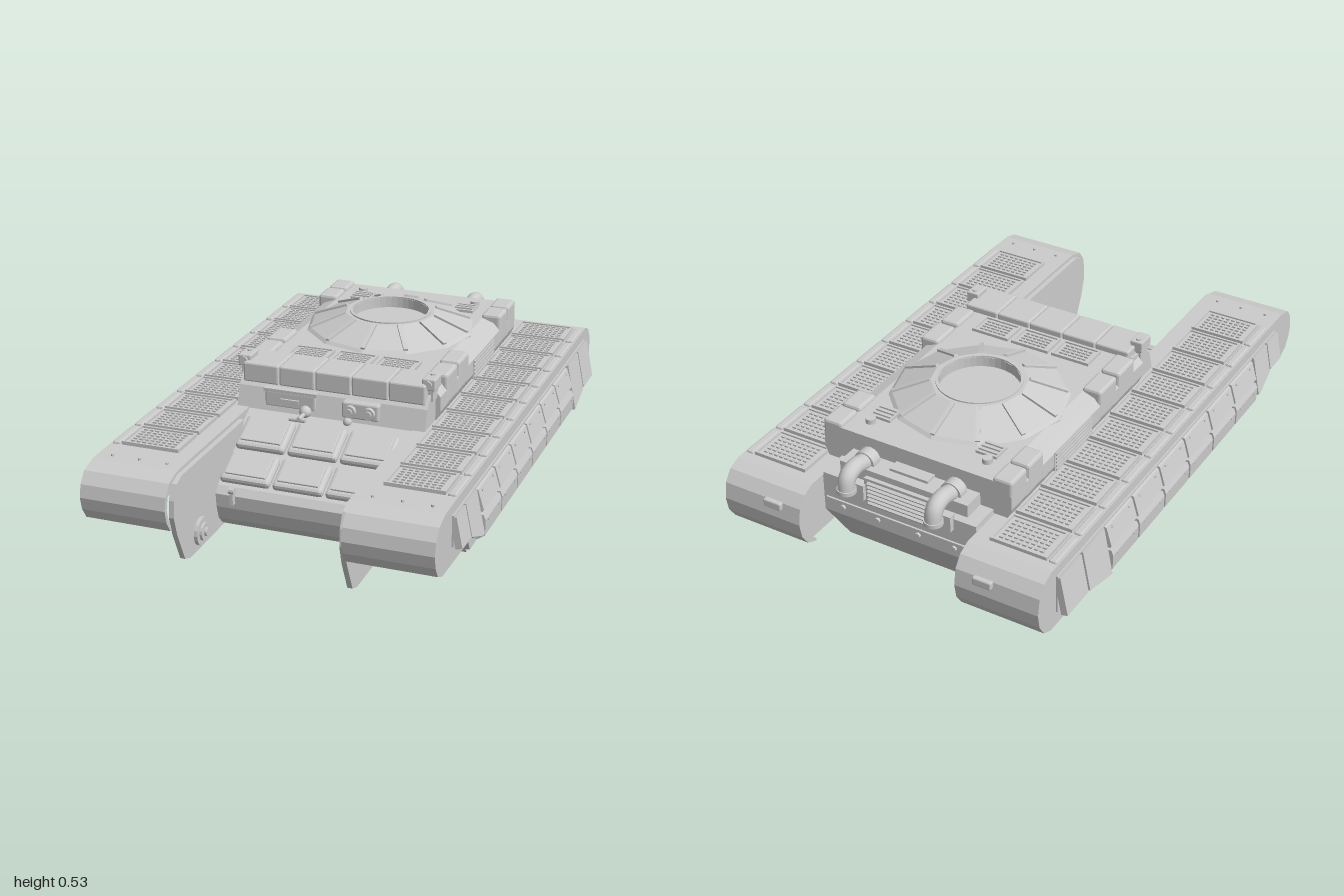
import * as THREE from 'three';
import { mergeGeometries } from 'three/addons/utils/BufferGeometryUtils.js';
import { RoundedBoxGeometry } from 'three/addons/geometries/RoundedBoxGeometry.js';

const smooth = new THREE.MeshStandardMaterial({ color: 0xcccccc, side: THREE.DoubleSide });
const flat = new THREE.MeshStandardMaterial({ color: 0xcccccc, flatShading: true, side: THREE.DoubleSide });

// Helpers: every geometry is placed in model space, then merged per part
const box = (w, h, d, x, y, z) => new THREE.BoxGeometry(w, h, d).translate(x, y, z);
const pad = (w, h, d, r = 0.01) => new RoundedBoxGeometry(w, h, d, 1, r);
const padAt = (w, h, d, x, y, z, r) => pad(w, h, d, r).translate(x, y, z);
const cyl = (r, h, x, y, z, axis = 'y', n = 16) => {
  const g = new THREE.CylinderGeometry(r, r, h, n);
  if (axis === 'x') g.rotateZ(Math.PI / 2);
  if (axis === 'z') g.rotateX(Math.PI / 2);
  return g.translate(x, y, z);
};
const shapeOf = (pts) => new THREE.Shape(pts.map((p) => new THREE.Vector2(p[0], p[1])));
// Side outline given as [z, y], spanning x0..x1
const slab = (pts, x0, x1) =>
  new THREE.ExtrudeGeometry(shapeOf(pts), { depth: x1 - x0, bevelEnabled: false })
    .rotateY(-Math.PI / 2).translate(x1, 0, 0);
// Front outline given as [x, y], spanning z0..z1
const loft = (pts, z0, z1) =>
  new THREE.ExtrudeGeometry(shapeOf(pts), { depth: z1 - z0, bevelEnabled: false }).translate(0, 0, z0);

function add(parent, name, geos, mat = flat) {
  const list = geos.map((g) => (g.index ? g.toNonIndexed() : g));
  const mesh = new THREE.Mesh(mergeGeometries(list), mat);
  mesh.name = name;
  parent.add(mesh);
}

// Framed panel with a field of small studs
function grate(w, d, x, y, z, nx, nz) {
  const out = [box(w, 0.012, d, x, y, z)];
  for (const s of [-1, 1]) {
    out.push(box(w, 0.012, 0.008, x, y + 0.006, z + s * (d / 2 - 0.004)));
    out.push(box(0.008, 0.012, d, x + s * (w / 2 - 0.004), y + 0.006, z));
  }
  for (let i = 0; i < nx; i++) for (let j = 0; j < nz; j++)
    out.push(box(0.014, 0.008, 0.009, x + ((i + 0.5) / nx - 0.5) * (w - 0.04), y + 0.008,
      z + ((j + 0.5) / nz - 0.5) * (d - 0.03)));
  return out;
}

// Everything that lies on one flank, built for +x
function buildFlank(s) {
  const g = new THREE.Group();
  // Fender: curled sheet over the track run, plus a closed outer wall
  const outer = [[0.92, 0.13], [0.965, 0.15], [0.99, 0.19], [1, 0.235], [0.99, 0.28], [0.96, 0.318], [0.9, 0.336],
    [0.8, 0.338], [-0.9, 0.338], [-0.945, 0.32], [-0.975, 0.28], [-0.985, 0.22], [-0.975, 0.165], [-0.945, 0.12], [-0.9, 0.1]];
  const inner = outer.map(([z, y]) => [z * 0.985, 0.22 + (y - 0.22) * 0.9]);
  inner[0] = [0.92, 0.14];
  inner[14] = [-0.9, 0.11];
  add(g, 'fenderSheet', [slab([...outer, ...inner.reverse()], 0.305, 0.6)]);
  add(g, 'fenderSideWall', [slab([...outer, [-0.6, 0.1], [0.6, 0.12]], 0.595, 0.614)]);
  add(g, 'fenderRearInnerWall', [slab([[-0.7, 0.335], [-0.9, 0.335], [-0.945, 0.32], [-0.975, 0.28], [-0.983, 0.22],
    [-0.973, 0.165], [-0.945, 0.125], [-0.7, 0.125]], 0.306, 0.314)]);
  add(g, 'fenderBolts', [0.36, 0.46, 0.56].map((x) => cyl(0.006, 0.008, x, 0.34, 0.86, 'y', 8)));
  // Running gear housing with chamfered lower edge
  add(g, 'lowerSkirt', [
    slab([[0.62, 0.13], [0.57, 0.043], [-0.75, 0.043], [-0.79, 0.1], [-0.9, 0.12], [-0.9, 0.3], [0.85, 0.3], [0.85, 0.14]], 0.535, 0.585),
    slab([[0.62, 0.13], [0.58, 0.06], [-0.76, 0.06], [-0.785, 0.1], [-0.785, 0.14], [0.62, 0.14]], 0.585, 0.6)]);

  // Walkway grates along the fender
  const grates = [];
  for (let i = 0; i < 10; i++) grates.push(...grate(0.21, 0.148, 0.468, 0.339, -0.785 + i * 0.1645, 8, 6));
  add(g, 'walkwayGrates', grates);
  add(g, 'fenderEdgeRail', Array.from({ length: 10 }, (_, i) =>
    padAt(0.03, 0.018, 0.15, 0.594, 0.337, -0.785 + i * 0.1645, 0.006)));

  // Side armour: two rows of outward leaning pads and tapered end pads
  add(g, 'skirtBacking', [slab([[0.83, 0.3], [0.83, 0.19], [0.73, 0.19], [0.62, 0.135], [0.6, 0.115], [-0.57, 0.115],
    [-0.72, 0.145], [-0.87, 0.155], [-0.87, 0.3]], 0.61, 0.62)]);
  const pads = [], bolts = [];
  for (let i = 0; i < 6; i++) {
    const z = 0.506 - i * 0.195, a = z - 0.092, b = z + 0.092;
    pads.push(loft([[0.612, 0.213], [0.645, 0.213], [0.65, 0.22], [0.629, 0.29], [0.612, 0.294]], a, b));
    pads.push(loft([[0.612, 0.113], [0.633, 0.113], [0.656, 0.13], [0.657, 0.185], [0.65, 0.203], [0.612, 0.203]], a, b));
    for (const e of [-0.06, 0.06])
      bolts.push(cyl(0.005, 0.008, 0.632, 0.279, z + e, 'x', 6), cyl(0.005, 0.006, 0.656, 0.18, z + e, 'x', 6));
  }
  const ends = [
    [[0.83, 0], [0.83, -0.11], [0.735, -0.11], [0.735, 0]],
    [[0.728, 0], [0.728, -0.115], [0.63, -0.155], [0.612, -0.155], [0.612, 0]],
    [[-0.575, 0], [-0.575, -0.178], [-0.72, -0.148], [-0.72, 0]],
    [[-0.73, 0], [-0.73, -0.145], [-0.87, -0.145], [-0.87, 0]],
  ];
  for (const e of ends) pads.push(slab(e, -0.008, 0.016).rotateZ(0.2).translate(0.613, 0.294, 0));
  add(g, 'skirtPads', pads);
  add(g, 'skirtBolts', bolts);

  // Nose plate with idler hub
  add(g, 'nosePlate', [slab([[0.5, 0.01], [0.86, 0.005], [0.9, 0.02], [0.95, 0.13], [0.97, 0.2], [0.965, 0.26],
    [0.94, 0.31], [0.9, 0.325], [0.4, 0.325]], 0.288, 0.306)]);
  add(g, 'idlerHub', [cyl(0.05, 0.014, 0.282, 0.07, 0.78, 'x'), cyl(0.032, 0.022, 0.277, 0.07, 0.78, 'x'),
    cyl(0.015, 0.03, 0.272, 0.07, 0.78, 'x')]);
  add(g, 'towHook', [box(0.012, 0.055, 0.025, 0.222, 0.15, 0.655), cyl(0.012, 0.02, 0.222, 0.175, 0.66, 'x', 10)]);

  // Boxes around the shoulder of the superstructure
  add(g, 'shoulderBoxes', [[-0.68, 0.1], [-0.57, 0.1], [-0.065, 0.12], [0.07, 0.12]].map(([z, d]) =>
    padAt(0.075, 0.115, d, 0.333, 0.425, z, 0.01)));
  add(g, 'sideLouvre', [box(0.008, 0.08, 0.26, 0.366, 0.386, -0.315),
    ...[0, 1, 2, 3, 4].map((i) => box(0.006, 0.007, 0.25, 0.371, 0.356 + i * 0.015, -0.315))]);
  add(g, 'cornerLamp', [padAt(0.048, 0.042, 0.07, 0.343, 0.489, 0.225, 0.004), box(0.025, 0.05, 0.05, 0.345, 0.45, 0.225),
    cyl(0.013, 0.012, 0.343, 0.492, 0.262, 'z', 12), cyl(0.01, 0.008, 0.343, 0.512, 0.21, 'y', 8)]);

  // Rear deck fittings and curved exhaust
  add(g, 'deckVent', [box(0.08, 0.012, 0.07, 0.21, 0.472, -0.59),
    ...[0, 1, 2].map((i) => box(0.07, 0.008, 0.01, 0.21, 0.48, -0.61 + i * 0.02))]);
  add(g, 'fillerCap', [cyl(0.018, 0.022, 0.23, 0.475, -0.65)], smooth);
  const path = new THREE.CatmullRomCurve3([[-0.74, 0.4], [-0.79, 0.41], [-0.84, 0.42], [-0.88, 0.405], [-0.893, 0.35]]
    .map(([z, y]) => new THREE.Vector3(0.17, y, z)));
  add(g, 'exhaustPipe', [new THREE.TubeGeometry(path, 18, 0.03, 14),
    cyl(0.04, 0.04, 0.17, 0.404, -0.765, 'z'), cyl(0.034, 0.015, 0.17, 0.36, -0.89)], smooth);
  add(g, 'exhaustBracket', [box(0.09, 0.06, 0.03, 0.17, 0.34, -0.845)]);
  add(g, 'tailLamp', [padAt(0.07, 0.03, 0.02, 0.41, 0.27, -0.982, 0.005)]);
  g.name = s > 0 ? 'leftFlank' : 'rightFlank';
  g.scale.x = s;
  return g;
}

export function createModel() {
  const model = new THREE.Group();
  for (const s of [1, -1]) model.add(buildFlank(s));

  // Tub with rounded nose and sloped tail
  add(model, 'hull', [slab([[0.56, 0.005], [0.6, 0.018], [0.63, 0.05], [0.645, 0.1], [0.65, 0.15], [0.63, 0.175], [0.32, 0.335],
    [0.2, 0.34], [-0.84, 0.34], [-0.84, 0.2], [-0.71, 0.008]], -0.302, 0.302)]);

  // Two rows of three armour blocks lying on the nose slope
  const blocks = [];
  const tilt = Math.atan2(0.16, 0.31);
  for (const [z, len] of [[0.427, 0.138], [0.567, 0.125]])
    for (const x of [-0.193, 0, 0.193]) {
      const y = 0.335 - (z - 0.32) * 0.516 + 0.01;
      blocks.push(pad(0.183, 0.034, len, 0.012).rotateX(tilt).translate(x, y, z));
      blocks.push(pad(0.15, 0.008, len * 0.72, 0.003).rotateX(tilt).translate(x, y + 0.019, z + 0.009));
    }
  add(model, 'noseArmour', blocks);

  // Superstructure with chamfered shoulders and a sloped front
  add(model, 'superstructure', [
    loft([[-0.352, 0.335], [0.352, 0.335], [0.368, 0.37], [0.368, 0.425], [0.345, 0.452], [0.3, 0.468], [-0.3, 0.468],
      [-0.345, 0.452], [-0.368, 0.425], [-0.368, 0.37]], -0.73, 0.2),
    slab([[0.15, 0.335], [0.315, 0.335], [0.29, 0.41], [0.25, 0.45], [0.15, 0.465]], -0.35, 0.35)]);
  add(model, 'browArmour', [...Array.from({ length: 5 }, (_, i) =>
    padAt(0.133, 0.072, 0.145, (i - 2) * 0.136, 0.456, 0.21, 0.006)), box(0.67, 0.05, 0.12, 0, 0.45, 0.21)]);
  add(model, 'roofGrates', [-0.165, 0, 0.165].flatMap((x) => grate(0.15, 0.1, x, 0.467, 0.07, 6, 4)));

  // Faceted turret ring: sloped cone, ribs and open well
  const lathe = (pts, n) => new THREE.LatheGeometry(pts.map((p) => new THREE.Vector2(...p)), n).translate(0, 0, -0.32);
  add(model, 'turretCone', [lathe([[0.316, 0.44], [0.316, 0.468], [0.304, 0.478], [0.17, 0.528], [0.145, 0.528]], 12)]);
  add(model, 'turretWell', [lathe([[0.153, 0.525], [0.153, 0.533], [0.143, 0.533], [0.143, 0.49], [0, 0.49]], 40)]);
  const ribs = [];
  for (let i = 0; i < 12; i++)
    ribs.push(box(0.016, 0.012, 0.14, 0, 0, 0).rotateX(0.357).translate(0, 0.504, 0.238)
      .rotateY((i * Math.PI) / 6).translate(0, 0, -0.32));
  add(model, 'turretRibs', ribs);

  // Front fittings: twin lamp box, vision slot and ball mount
  add(model, 'lampBox', [padAt(0.135, 0.06, 0.05, 0.115, 0.38, 0.295, 0.006)]);
  add(model, 'lamps', [0.08, 0.15].flatMap((x) => [cyl(0.022, 0.03, x, 0.38, 0.32, 'z', 20), cyl(0.013, 0.04, x, 0.38, 0.322, 'z', 16)]), smooth);
  add(model, 'visionSlot', [padAt(0.19, 0.06, 0.03, -0.15, 0.38, 0.295, 0.006), box(0.07, 0.012, 0.01, -0.15, 0.38, 0.313),
    box(0.2, 0.012, 0.03, -0.15, 0.411, 0.295)]);
  add(model, 'ballMount', [new THREE.SphereGeometry(0.022, 16, 10).translate(-0.09, 0.35, 0.315),
    cyl(0.008, 0.06, -0.09, 0.346, 0.35, 'z', 10), cyl(0.008, 0.06, -0.1, 0.338, 0.365, 'x', 10),
    new THREE.SphereGeometry(0.016, 12, 8).translate(0.07, 0.338, 0.322)], smooth);

  // Rear engine cover with louvres
  add(model, 'engineCover', [box(0.5, 0.06, 0.09, 0, 0.37, -0.765), box(0.6, 0.016, 0.11, 0, 0.345, -0.785),
    box(0.15, 0.012, 0.05, 0, 0.404, -0.75)]);
  const slats = [box(0.26, 0.11, 0.015, 0, 0.34, -0.838)];
  for (let i = 0; i < 6; i++) slats.push(box(0.23, 0.008, 0.014, 0, 0, 0).rotateX(-0.5).translate(0, 0.3 + i * 0.016, -0.847));
  add(model, 'rearLouvre', slats);
  add(model, 'rearPlate', [box(0.58, 0.05, 0.01, 0, 0.235, -0.842),
    ...[-0.22, -0.08, 0.08, 0.22].map((x) => cyl(0.01, 0.012, x, 0.24, -0.85, 'z', 8))]);
  return model;
}
